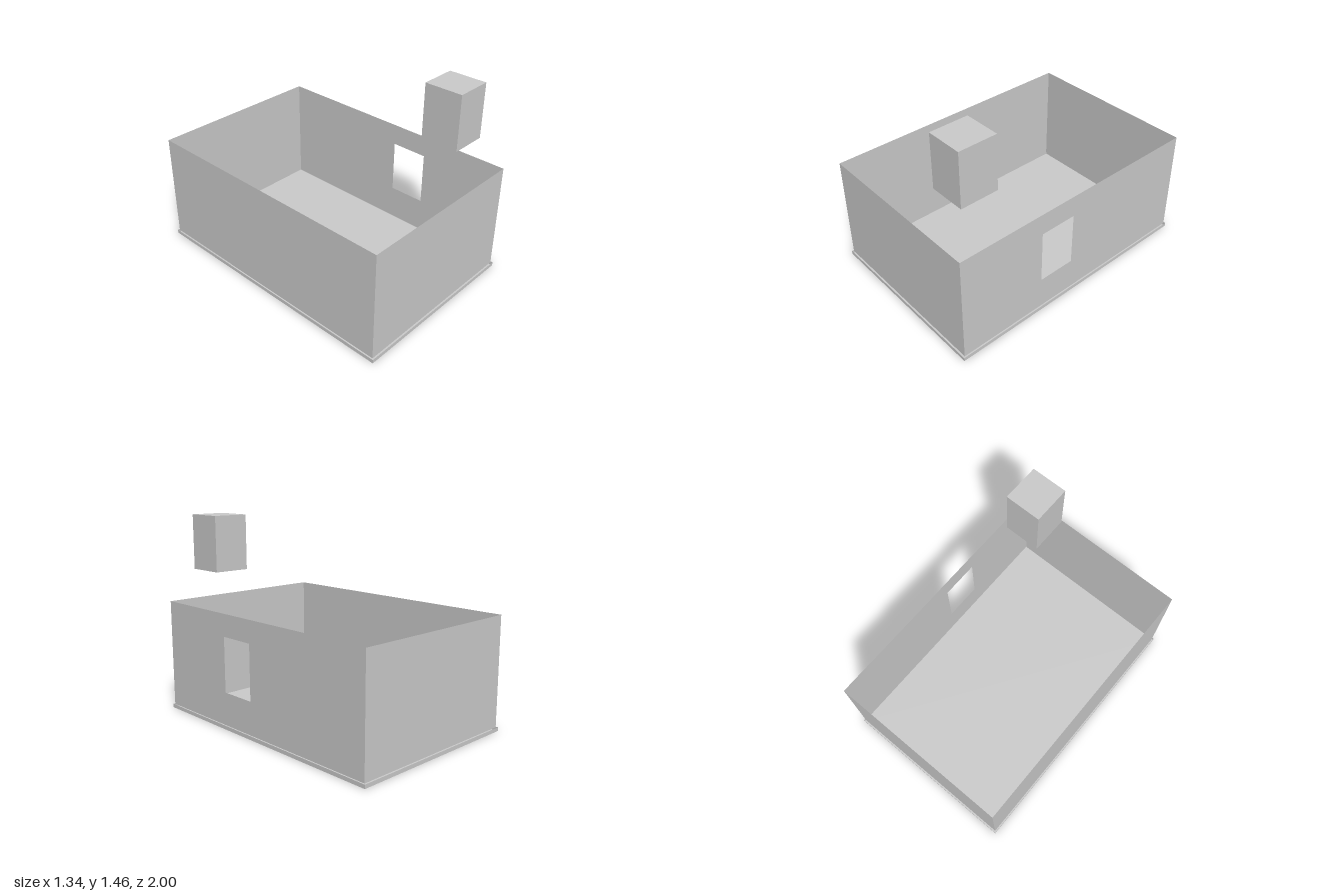
import * as THREE from 'three';

const material = new THREE.MeshStandardMaterial({ color: 0xcccccc, side: THREE.DoubleSide, flatShading: true });

// Adds a named mesh to a parent at a position
function add(parent, name, geometry, x = 0, y = 0, z = 0, turn = 0) {
  const mesh = new THREE.Mesh(geometry, material);
  mesh.name = name;
  mesh.position.set(x, y, z);
  mesh.rotation.y = turn;
  parent.add(mesh);
  return mesh;
}

// Counter-clockwise rectangle outline
function rectangle(x0, y0, x1, y1) {
  return [[x0, y0], [x1, y0], [x1, y1], [x0, y1]].map(([x, y]) => new THREE.Vector2(x, y));
}

// Thin upright panel, optionally with a rectangular opening
function panel(halfWidth, y0, y1, opening) {
  const shape = new THREE.Shape(rectangle(-halfWidth, y0, halfWidth, y1));
  if (opening) shape.holes.push(new THREE.Path(opening));
  return new THREE.ShapeGeometry(shape);
}

// Four thin panels around a rectangle; the opening goes in the left (+x) one
function enclosure(name, halfX, halfZ, y0, y1, opening) {
  const group = new THREE.Group();
  group.name = name;
  add(group, name + 'Front', panel(halfX, y0, y1), 0, 0, halfZ);
  add(group, name + 'Back', panel(halfX, y0, y1), 0, 0, -halfZ, Math.PI);
  add(group, name + 'Left', panel(halfZ, y0, y1, opening), halfX, 0, 0, Math.PI / 2);
  add(group, name + 'Right', panel(halfZ, y0, y1), -halfX, 0, 0, -Math.PI / 2);
  return group;
}

export function createModel() {
  const model = new THREE.Group();
  model.name = 'openRoom';

  // Shallow floor tray, slightly larger than the walls
  const floor = add(model, 'floor', new THREE.PlaneGeometry(1.34, 2));
  floor.rotation.x = -Math.PI / 2;
  model.add(enclosure('floorRim', 0.67, 1, 0, 0.027));

  // Walls, with the window (local x runs towards -z on the left wall)
  const windowOpening = rectangle(-0.33, 0.265, -0.053, 0.66);
  model.add(enclosure('wall', 0.66, 0.988, 0.027, 0.82, windowOpening));

  // Separate block floating above the front left corner
  add(model, 'floatingBlock', new THREE.BoxGeometry(0.265, 0.395, 0.277), 0.393, 1.258, 0.72);

  return model;
}
